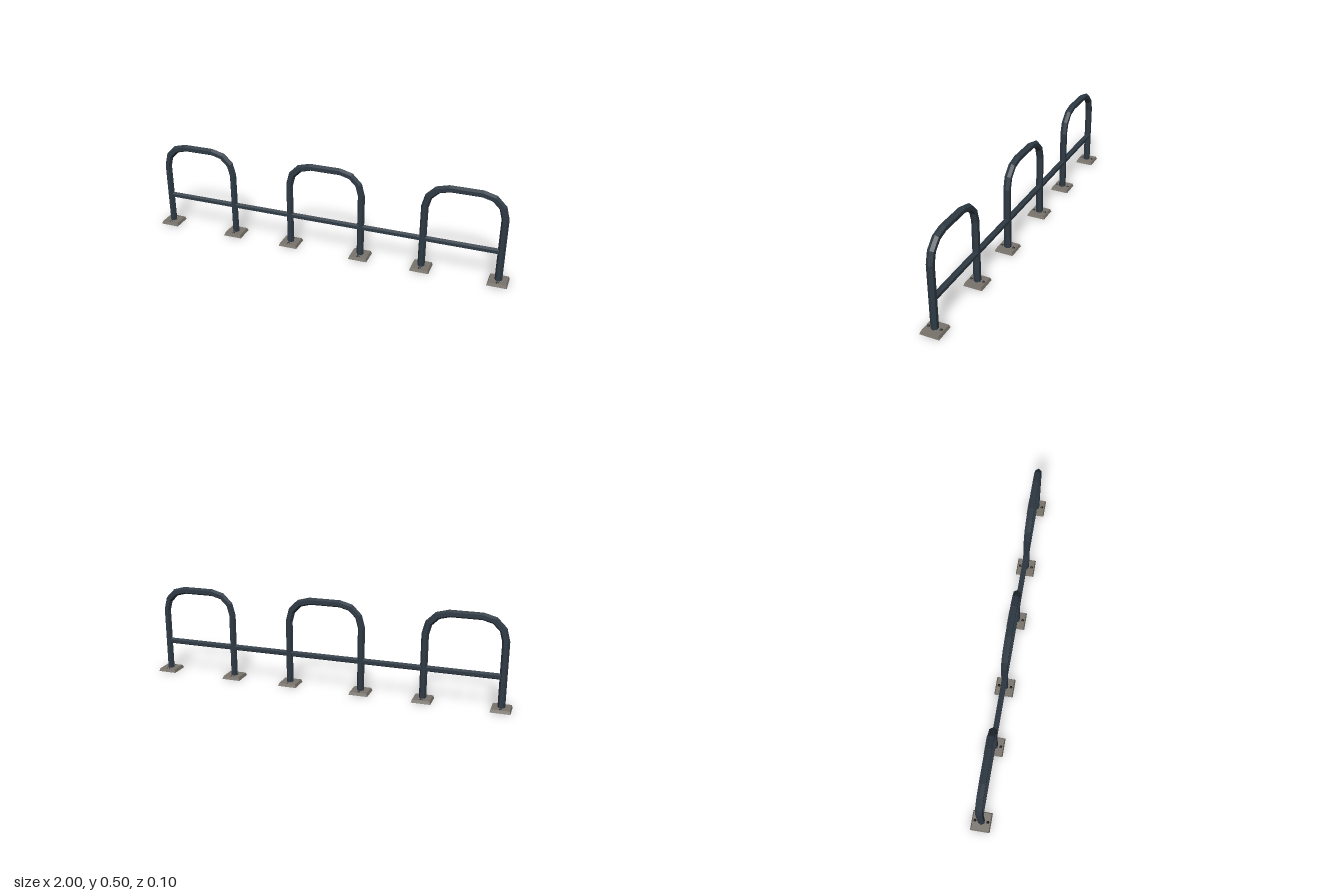
import * as THREE from 'three';

const steel = new THREE.MeshStandardMaterial({ color: 0x2f3a44, flatShading: true });
const plateMat = new THREE.MeshStandardMaterial({ color: 0x78736b, flatShading: true });
const boltMat = new THREE.MeshStandardMaterial({ color: 0x20201f, flatShading: true });

const TUBE = 0.0195, SIDES = 6;
const HALF_SPAN = 0.203, TOP = 0.483, BEND = 0.12, PLATE_H = 0.016;

// Centre line of one hoop in the XY plane, from the -x foot to the +x foot
function hoopPath() {
  const pts = [new THREE.Vector2(-HALF_SPAN, PLATE_H / 2)];
  for (const side of [-1, 1]) {
    for (let i = 0; i <= 3; i++) {
      const a = (side < 0 ? i : 3 - i) * Math.PI / 6;
      pts.push(new THREE.Vector2(
        side * (HALF_SPAN - BEND + BEND * Math.cos(a)),
        TOP - BEND + BEND * Math.sin(a)));
    }
  }
  pts.push(new THREE.Vector2(HALF_SPAN, PLATE_H / 2));
  return pts;
}

// Sweep a hexagon along a planar path with mitred joints
function sweep(pts, r) {
  const pos = [], index = [];
  pts.forEach((p, i) => {
    const d0 = p.clone().sub(pts[Math.max(i - 1, 0)]).normalize();
    const d1 = pts[Math.min(i + 1, pts.length - 1)].clone().sub(p).normalize();
    const t = d0.clone().add(d1).normalize();
    const mitre = 1 / t.dot(i === 0 ? d1 : d0);
    for (let k = 0; k < SIDES; k++) {
      const a = k * 2 * Math.PI / SIDES;
      const u = Math.cos(a) * r * mitre;
      pos.push(p.x - t.y * u, p.y + t.x * u, Math.sin(a) * r);
    }
  });
  for (let i = 0; i < pts.length - 1; i++) {
    for (let k = 0; k < SIDES; k++) {
      const a = i * SIDES + k, b = i * SIDES + (k + 1) % SIDES;
      index.push(a, b, a + SIDES, b, b + SIDES, a + SIDES);
    }
  }
  const g = new THREE.BufferGeometry();
  g.setAttribute('position', new THREE.Float32BufferAttribute(pos, 3));
  g.setIndex(index);
  g.computeVertexNormals();
  return g;
}

function addMesh(parent, name, geometry, material, x = 0, y = 0, z = 0) {
  const m = new THREE.Mesh(geometry, material);
  m.name = name;
  m.position.set(x, y, z);
  parent.add(m);
}

export function createModel() {
  const model = new THREE.Group();
  model.name = 'bikeRack';

  const hoopGeo = sweep(hoopPath(), TUBE);
  const plateGeo = new THREE.CylinderGeometry(0.0465 * Math.SQRT2, 0.052 * Math.SQRT2, PLATE_H, 4)
    .rotateY(Math.PI / 4);
  const boltGeo = new THREE.ConeGeometry(0.009, 0.01, 6);

  // Three hoops, each on two bolted plates
  for (const x of [-0.745, 0, 0.745]) {
    const unit = new THREE.Group();
    unit.name = 'hoopUnit';
    unit.position.x = x;
    model.add(unit);
    addMesh(unit, 'hoop', hoopGeo, steel);
    for (const s of [-1, 1]) {
      addMesh(unit, 'footPlate', plateGeo, plateMat, s * HALF_SPAN, PLATE_H / 2);
      for (const z of [-0.034, 0.034]) {
        addMesh(unit, 'bolt', boltGeo, boltMat, s * HALF_SPAN, PLATE_H + 0.0045, z);
      }
    }
  }

  // Long rail joining the hoops, ending inside the outer legs
  const railGeo = new THREE.CylinderGeometry(0.0165, 0.0165, 1.896, SIDES)
    .rotateY(Math.PI / 2).rotateZ(Math.PI / 2);
  addMesh(model, 'rail', railGeo, steel, 0, 0.179);

  return model;
}
